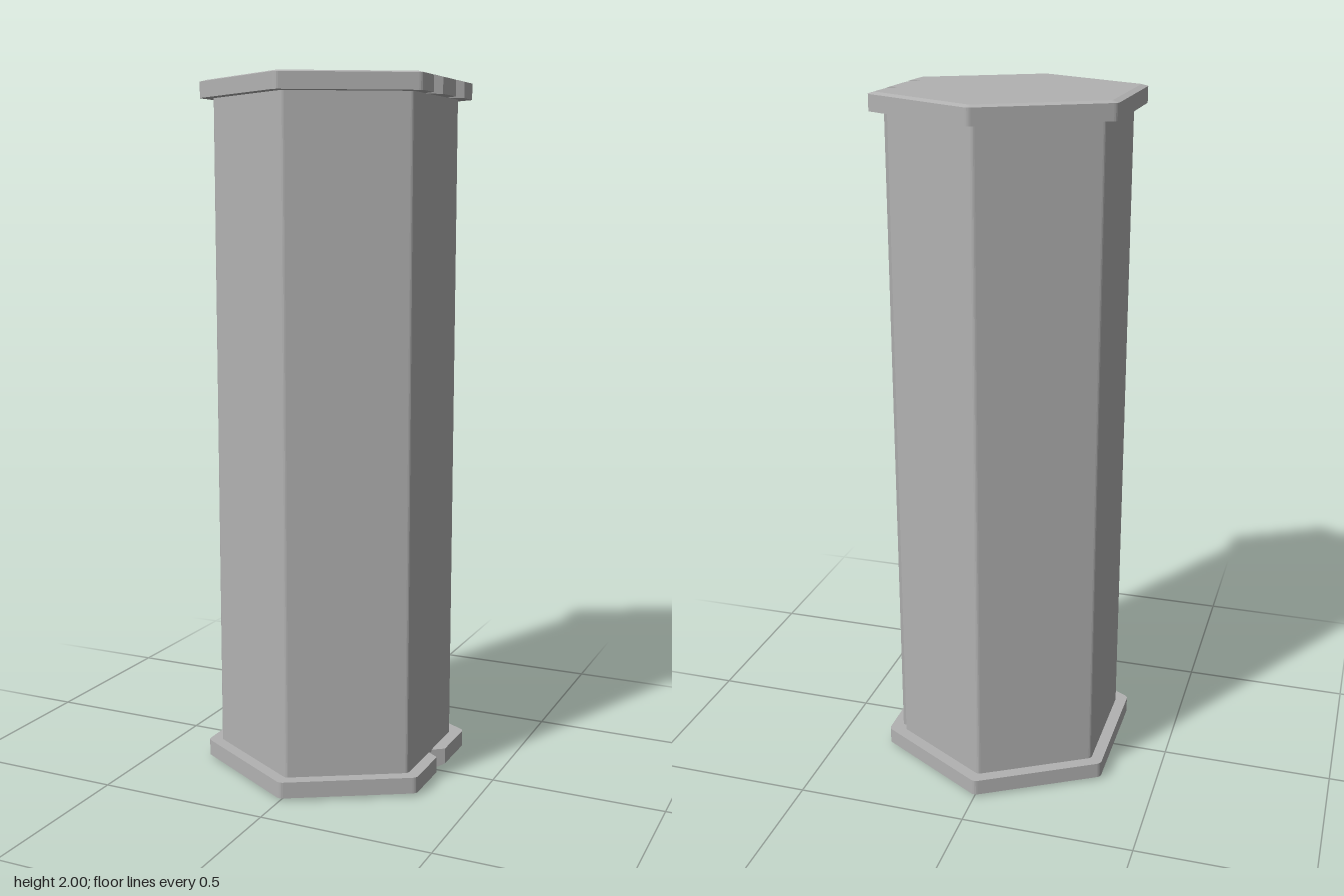
import * as THREE from 'three';

const SIDE = 0.338; // cap distance from centre to flat
const TAN30 = Math.tan(Math.PI / 6);

// Hexagon with softened corners, in shape space (y is -z); the first side faces +x.
// `insert` adds extra points along the +x side, from low y to high y.
function hexOutline(apothem, r, insert = [], skipLowCorner = false) {
  const pts = [];
  const R = apothem / Math.cos(Math.PI / 6);
  const centre = R - r / Math.cos(Math.PI / 6);
  for (let i = 0; i < 6; i++) {
    const a = -Math.PI / 6 + i * Math.PI / 3;
    if (!(skipLowCorner && i === 1)) {
      for (let k = -2; k <= 2; k++) {
        const b = a + k * Math.PI / 12;
        pts.push(new THREE.Vector2(
          Math.cos(a) * centre + Math.cos(b) * r,
          Math.sin(a) * centre + Math.sin(b) * r));
      }
    }
    if (i === 0) pts.push(...insert);
  }
  return pts;
}

// Cap outline with V notches cut into its +x side
function capOutline(notches, inset) {
  const x = SIDE - inset;
  const half = 0.035 * (x - 0.29) / (SIDE - 0.29);
  const cuts = notches.flatMap((y) => [
    new THREE.Vector2(x, y - half),
    new THREE.Vector2(0.29, y),
    new THREE.Vector2(x, y + half),
  ]);
  return hexOutline(x, inset ? 0.008 : 0.02, cuts);
}

// Plate with a shallow chamfer around its outer face (top or bottom)
function capGeometry(notches, height, chamfer, atTop) {
  const outer = capOutline(notches, 0);
  const inner = capOutline(notches, 0.018);
  const g = new THREE.ExtrudeGeometry(new THREE.Shape(outer), { depth: 1, steps: 2, bevelEnabled: false });
  const p = g.attributes.position;
  const v = new THREE.Vector2();
  for (let i = 0; i < p.count; i++) {
    const t = p.getZ(i);
    v.set(p.getX(i), p.getY(i));
    const middle = atTop ? height - chamfer : chamfer;
    const z = t < 0.25 ? 0 : t > 0.75 ? height : middle;
    if (atTop ? t > 0.75 : t < 0.25) {
      const n = outer.findIndex((q) => q.distanceTo(v) < 1e-4);
      if (n >= 0) v.copy(inner[n]);
    }
    p.setXYZ(i, v.x, v.y, z);
  }
  g.rotateX(-Math.PI / 2);
  g.computeVertexNormals();
  return g;
}

export function createModel() {
  const group = new THREE.Group();
  const grey = new THREE.MeshStandardMaterial({ color: 0xb2b2b2 });
  grey.name = 'plain grey';

  const add = (name, geometry, y) => {
    const mesh = new THREE.Mesh(geometry, grey);
    mesh.name = name;
    mesh.position.y = y;
    group.add(mesh);
  };

  // Hexagonal column with a narrow open seam at its back right corner
  const apothem = 0.304;
  const seam = [
    new THREE.Vector2(apothem, 0.162),
    new THREE.Vector2(0.28, 0.162),
    new THREE.Vector2(0.28, 0.184),
    new THREE.Vector2(0.286, apothem / Math.cos(Math.PI / 6) - 0.286 * TAN30),
  ];
  const column = new THREE.ExtrudeGeometry(
    new THREE.Shape(hexOutline(apothem, 0.015, seam, true)),
    { depth: 1.9, bevelEnabled: false });
  column.rotateX(-Math.PI / 2);
  add('column', column, 0.05);

  // End caps: two notches on top, one below
  add('topCap', capGeometry([-0.085, 0.085], 0.05, 0.005, true), 1.95);
  add('bottomCap', capGeometry([0], 0.055, 0.008, false), 0);
  return group;
}
